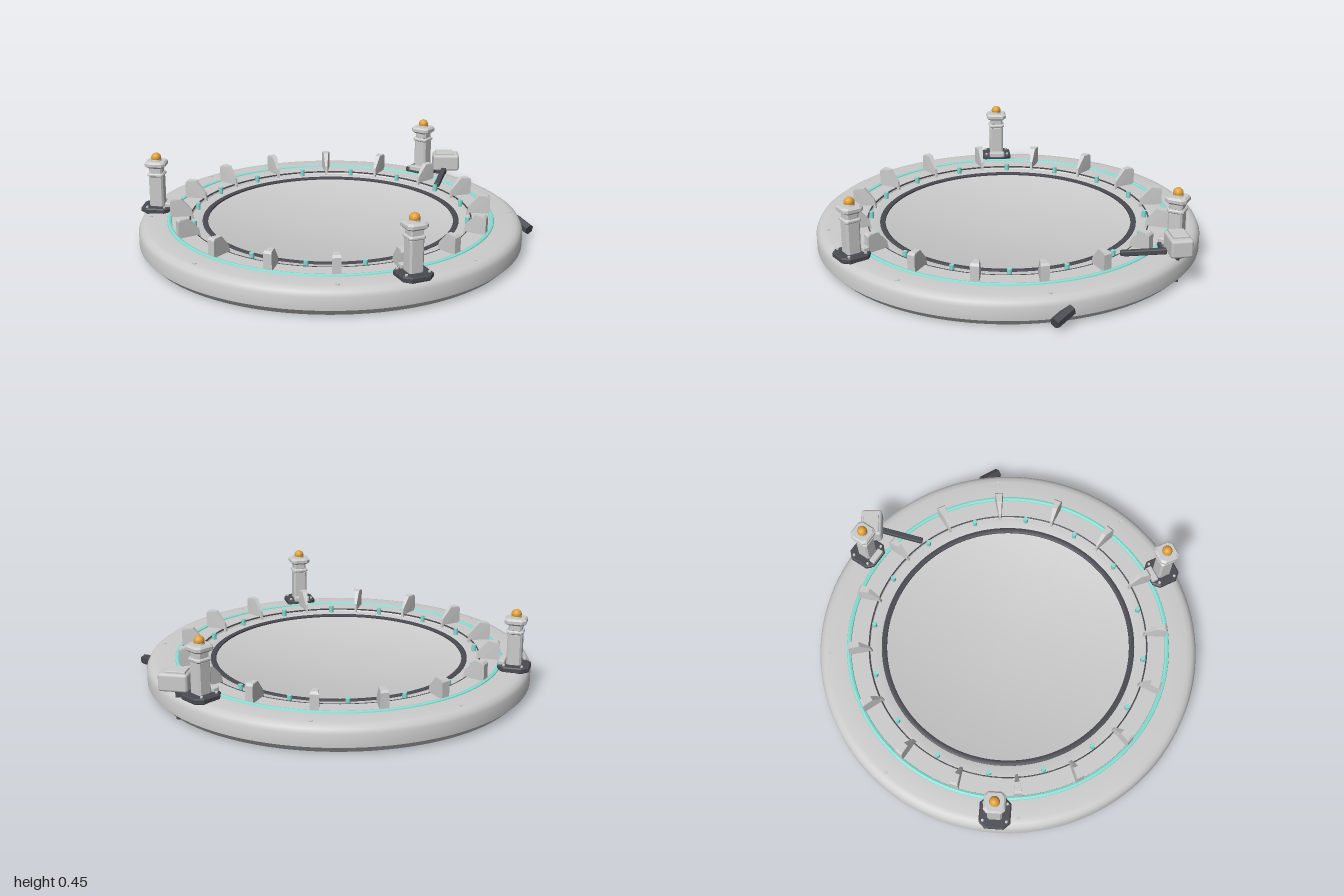
import * as THREE from 'three';
import { toCreasedNormals } from 'three/addons/utils/BufferGeometryUtils.js';
import { RoundedBoxGeometry } from 'three/addons/geometries/RoundedBoxGeometry.js';
import { ConvexGeometry } from 'three/addons/geometries/ConvexGeometry.js';

const grey = new THREE.MeshStandardMaterial({ color: 0xcccccc });
const dark = new THREE.MeshStandardMaterial({ color: 0x4a4a52 });
const teal = new THREE.MeshStandardMaterial({ color: 0x86ddd2 });
const amber = new THREE.MeshStandardMaterial({ color: 0xe0a038 });

function add(parent, name, geometry, material, x = 0, y = 0, z = 0) {
  const mesh = new THREE.Mesh(geometry, material);
  mesh.name = name;
  mesh.position.set(x, y, z);
  parent.add(mesh);
  return mesh;
}

// Surface of revolution with sharp edges kept
function lathe(points, segments = 128) {
  const pts = points.map(([r, y]) => new THREE.Vector2(r, y));
  return toCreasedNormals(new THREE.LatheGeometry(pts, segments), 0.55);
}

// Group turned about the centre, so that its local +z points outward
function spoke(parent, name, angle) {
  const g = new THREE.Group();
  g.name = name;
  g.rotation.y = angle;
  parent.add(g);
  return g;
}

// Square block with cut corners, lying between y0 and y1
function chamferBlock(half, cut, y0, y1, bevel = 0.006) {
  const pts = [];
  for (const [y, inset] of [[y0, bevel], [y0 + bevel, 0], [y1 - bevel, 0], [y1, bevel]]) {
    const h = half - inset, c = h - cut;
    for (const sx of [-1, 1]) for (const sz of [-1, 1]) {
      pts.push(new THREE.Vector3(sx * h, y, sz * c), new THREE.Vector3(sx * c, y, sz * h));
    }
  }
  return new ConvexGeometry(pts);
}

// Wedge fin: wide and tall outside, narrow and low inside
function finGeometry() {
  const pts = [];
  for (const s of [-1, 1]) {
    for (const [w, y, z] of [
      [0.022, 0.12, 0.832], [0.022, 0.225, 0.832], [0.019, 0.236, 0.822],
      [0.013, 0.236, 0.775], [0.006, 0.175, 0.722], [0.006, 0.12, 0.712],
    ]) pts.push(new THREE.Vector3(s * w, y, z));
  }
  return new ConvexGeometry(pts);
}

// Beacon post on its bolted foot
function addPost(parent) {
  const post = new THREE.Group();
  post.name = 'beaconPost';
  post.position.z = 0.915;
  parent.add(post);
  add(post, 'postFoot', chamferBlock(0.08, 0.032, 0.135, 0.165), dark);
  for (const sx of [-1, 1]) for (const sz of [-1, 1]) {
    add(post, 'footBolt', new THREE.CylinderGeometry(0.007, 0.007, 0.012, 10), grey, sx * 0.06, 0.167, sz * 0.045);
  }
  add(post, 'footBlock', new RoundedBoxGeometry(0.085, 0.04, 0.035, 1, 0.006), grey, 0, 0.165, -0.06);
  add(post, 'postShaft', chamferBlock(0.037, 0.009, 0.16, 0.33), grey);
  add(post, 'postCollar', chamferBlock(0.043, 0.011, 0.325, 0.345), grey);
  add(post, 'postNeck', chamferBlock(0.034, 0.009, 0.34, 0.385), grey);
  add(post, 'postCap', chamferBlock(0.054, 0.018, 0.375, 0.408, 0.009), grey);
  add(post, 'lampSeat', new THREE.CylinderGeometry(0.024, 0.028, 0.015, 20), grey, 0, 0.412, 0);
  add(post, 'beaconLamp', new THREE.SphereGeometry(0.026, 24, 16), amber, 0, 0.423, 0);
}

export function createModel() {
  const model = new THREE.Group();
  model.name = 'landingPad';
  const pad = new THREE.Group();
  pad.name = 'pad';
  pad.position.set(-0.003, 0, -0.007);
  model.add(pad);

  // Round deck with a bevelled rim and a recessed floor
  add(pad, 'deck', lathe([
    [0, 0], [0.957, 0], [0.993, 0.035], [0.993, 0.1], [0.983, 0.121], [0.965, 0.134], [0.94, 0.139],
    [0.85, 0.141], [0.733, 0.141], [0.725, 0.128], [0.66, 0.126], [0.65, 0.122], [0, 0.122],
  ]), grey);

  // Concentric rings
  add(pad, 'lightRing', lathe([[0.823, 0.138], [0.826, 0.146], [0.836, 0.149], [0.846, 0.146], [0.849, 0.138]].reverse()), teal);
  add(pad, 'floorRing', lathe([[0.638, 0.12], [0.638, 0.129], [0.643, 0.132], [0.661, 0.132], [0.666, 0.129], [0.666, 0.12]].reverse()), dark);
  add(pad, 'seamRing', new THREE.TorusGeometry(0.731, 0.004, 6, 128).rotateX(Math.PI / 2), dark, 0, 0.139, 0);

  // Fins with small marker lights between them
  const fin = finGeometry();
  const marker = new THREE.CylinderGeometry(0.012, 0.012, 0.04, 12);
  for (let i = 0; i < 16; i++) {
    const a = (i * Math.PI) / 8;
    add(spoke(pad, 'finSpoke', a), 'fin', fin, grey);
    add(spoke(pad, 'markerSpoke', a + Math.PI / 16), 'markerLight', marker, teal, 0, 0.143, 0.712);
  }

  // Deck bolts near the rim
  const bolt = new THREE.CylinderGeometry(0.01, 0.01, 0.01, 12);
  for (let i = 0; i < 8; i++) {
    add(spoke(pad, 'boltSpoke', ((i + 0.5) * Math.PI) / 4), 'deckBolt', bolt, grey, 0, 0.137, 0.935);
  }

  // Three beacon posts
  for (let i = 0; i < 3; i++) addPost(spoke(pad, 'postSpoke', (i * Math.PI * 2) / 3));

  // Control box beside the left rear post
  const box = new THREE.Group();
  box.name = 'controlBox';
  box.position.set(0.9, 0.21, -0.378);
  box.rotation.y = -0.44;
  pad.add(box);
  add(box, 'boxBody', new RoundedBoxGeometry(0.148, 0.092, 0.112, 1, 0.014), grey);
  add(box, 'boxLid', new RoundedBoxGeometry(0.1, 0.016, 0.08, 1, 0.004), grey, -0.01, 0.048, 0);
  add(box, 'boxStand', new THREE.BoxGeometry(0.05, 0.06, 0.05), dark, -0.03, -0.05, 0);

  // Dark arm reaching in over the deck
  const arm = add(pad, 'arm', new RoundedBoxGeometry(0.03, 0.028, 0.225, 1, 0.006), dark, 0.795, 0.161, -0.25);
  arm.rotation.set(0.1, Math.atan2(-0.145, 0.175), 0, 'YXZ');

  // Cable running down through the rim
  add(pad, 'cable', new THREE.CylinderGeometry(0.015, 0.015, 0.155, 12), dark, 0.89, 0.088, -0.378);

  // Hexagonal clamp on the rim
  const clamp = add(pad, 'rimClamp', toCreasedNormals(
    new THREE.CylinderGeometry(0.028, 0.028, 0.115, 6).rotateX(Math.PI / 2), 0.3), dark, 0.955, 0.057, 0.352);
  clamp.rotation.set(0.27, 0.2, 0, 'YXZ');

  return model;
}
